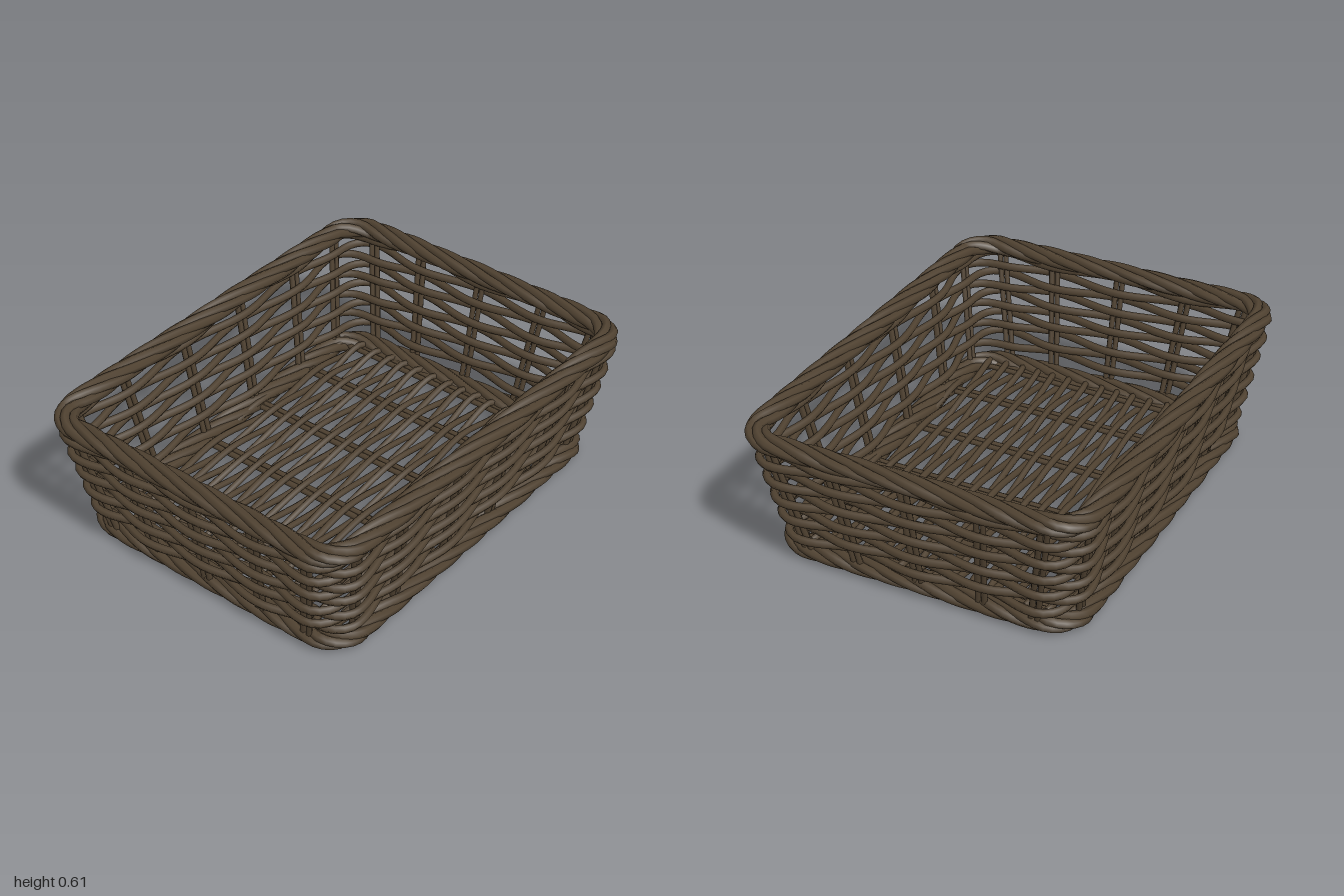
import * as THREE from 'three';

const SIDES = [
  [-1, -0.655, -0.215, 0.215, 0.655, 1], // stake places along the long sides
  [-1, -0.55, 0, 0.55, 1],               // and along the short sides
];
const UNITS = 22; // stakes around the basket, one unit of u between neighbours

// Point on a rounded rectangle; every whole u is a stake. off pushes it outward.
function ring(u, a, b, r, y, off = 0) {
  u = ((u % UNITS) + UNITS) % UNITS;
  let k = 0;
  while (u >= SIDES[k % 2].length) u -= SIDES[k++ % 2].length;
  const stops = SIDES[k % 2], spans = stops.length - 1;
  const d = k % 2 ? a : b, h = (k % 2 ? b : a) - r;
  const th = k * Math.PI / 2, nx = Math.sin(th), nz = Math.cos(th);
  if (u < spans) {
    const i = Math.floor(u);
    const f = (stops[i] + (stops[i + 1] - stops[i]) * (u - i)) * h;
    return new THREE.Vector3(nx * (d + off) + nz * f, y, nz * (d + off) - nx * f);
  }
  const c = th + (u - spans) * Math.PI / 2, q = r + off;
  return new THREE.Vector3(
    nx * (d - r) + nz * h + Math.sin(c) * q, y,
    nz * (d - r) - nx * h + Math.cos(c) * q);
}

class Path extends THREE.Curve {
  constructor(fn) { super(); this.fn = fn; this.arcLengthDivisions = 600; }
  getPoint(t, target = new THREE.Vector3()) { return target.copy(this.fn(t)); }
}

const wallA = y => 0.85 + 0.2 * y;
const wallB = y => 0.62 + 0.18 * y;
const R = 0.13;

export function createModel() {
  const basket = new THREE.Group();
  basket.name = 'wickerBasket';
  const wicker = new THREE.MeshStandardMaterial({ color: 0x504231 });
  wicker.name = 'darkWicker';

  const group = name => {
    const g = new THREE.Group();
    g.name = name;
    basket.add(g);
    return g;
  };
  const strand = (parent, name, curve, segments, radius, closed = false) => {
    const mesh = new THREE.Mesh(new THREE.TubeGeometry(curve, segments, radius, 6, closed), wicker);
    mesh.name = name;
    parent.add(mesh);
  };

  // Woven wall rows, passing alternately outside and inside the stakes
  const wall = group('wovenWall');
  for (let i = 0; i < 10; i++) {
    const y = 0.12 + 0.045 * i;
    strand(wall, 'wallStrand', new Path(t => {
      const u = t * UNITS;
      const weave = 0.024 * Math.cos(Math.PI * (u + i));
      return ring(u, wallA(y), wallB(y), R, y + 0.003 * Math.sin(u * 1.714 + i * 2), weave);
    }), 176, 0.0175, true);
  }

  // Paired upright stakes leaning with the wall
  const stakes = group('uprightStakes');
  for (let k = 0; k < UNITS; k++) {
    const at = y => ring(k, wallA(y), wallB(y), R, y);
    const low = at(0.04), high = at(0.57);
    const side = ring(k + 0.05, 0.9, 0.7, R, 0).sub(ring(k - 0.05, 0.9, 0.7, R, 0)).setLength(0.014);
    for (const s of [-1, 1]) {
      const move = side.clone().multiplyScalar(s);
      strand(stakes, 'stake', new THREE.LineCurve3(low.clone().add(move), high.clone().add(move)), 2, 0.013);
    }
  }

  // Twisted rope borders at top and bottom
  const rope = (name, a, b, y) => {
    const g = group(name);
    for (let j = 0; j < 5; j++) {
      strand(g, 'ropeStrand', new Path(t => {
        const w = Math.PI * 2 * (t * 8 + j / 5);
        return ring(t * UNITS, a, b, R, y + 0.021 * Math.cos(w), 0.031 * Math.sin(w));
      }), 180, 0.021, true);
    }
  };
  rope('topRim', 0.947, 0.708, 0.57);
  rope('bottomRim', 0.838, 0.635, 0.042);

  // Base rods running front to back
  const base = group('wovenBase');
  const rods = [-0.78, -0.51, -0.17, 0.17, 0.51, 0.78];
  for (const x of rods) for (const s of [-0.014, 0.014]) {
    strand(base, 'baseRod', new THREE.LineCurve3(
      new THREE.Vector3(x + s, 0.04, -0.63), new THREE.Vector3(x + s, 0.04, 0.63)), 2, 0.013);
  }

  // One long strand weaving back and forth across the base rods
  const points = [];
  for (let i = 0; i < 31; i++) {
    const z = -0.6 + 0.04 * i, dir = i % 2 ? -1 : 1;
    for (let n = 0; n < 6; n++) {
      const k = dir > 0 ? n : 5 - n;
      const sway = 0.005 * Math.sin(k * 2.1 + i * 0.7);
      points.push(new THREE.Vector3(rods[k], 0.04 + ((i + k) % 2 ? 0.02 : -0.02), z + sway));
    }
    if (i < 30) points.push(new THREE.Vector3(dir * 0.825, 0.04, z + 0.02));
  }
  const weaver = new THREE.CatmullRomCurve3(points);
  weaver.arcLengthDivisions = 3000;
  strand(base, 'baseWeaver', weaver, 1500, 0.0145);

  return basket;
}
